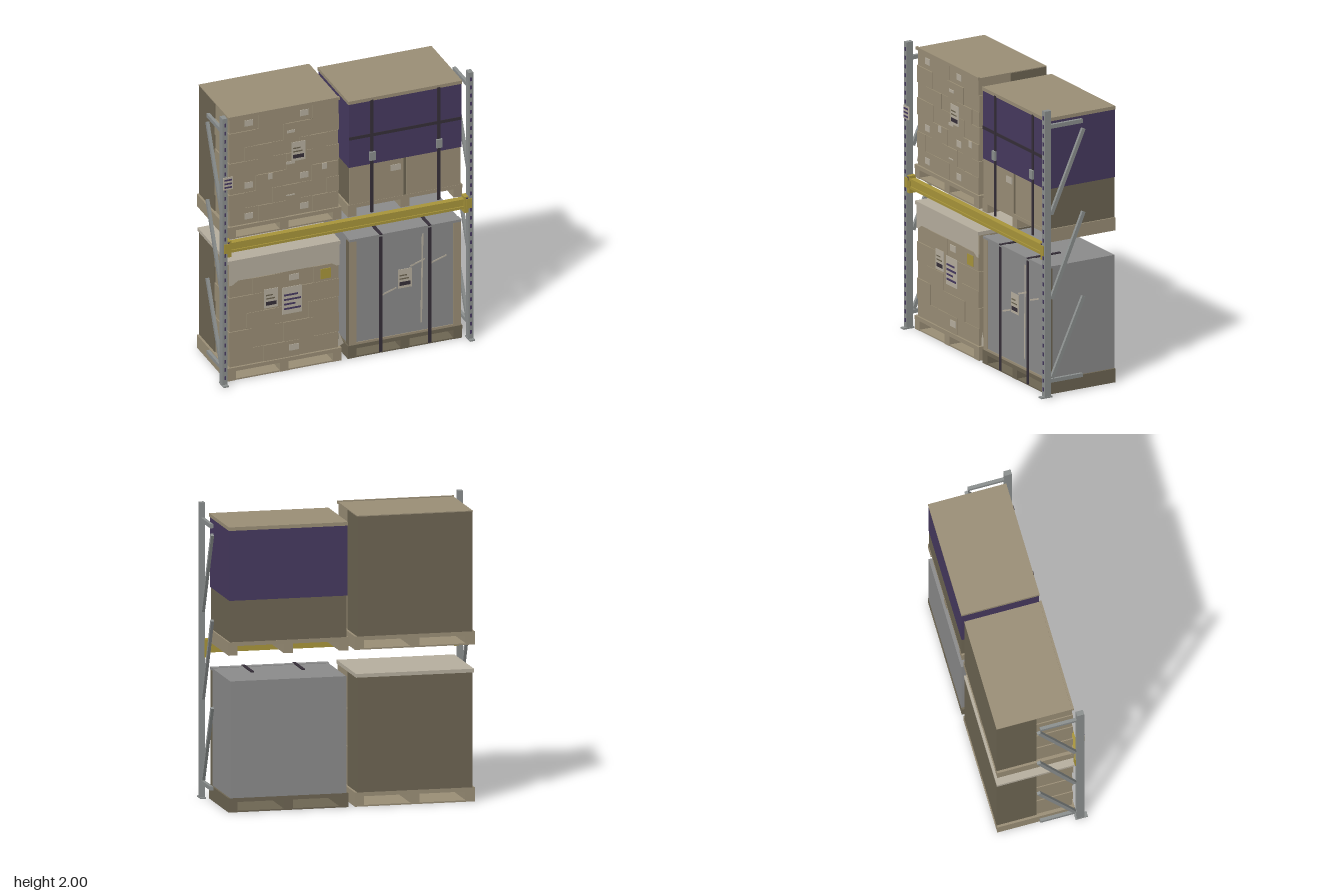
import * as THREE from 'three';

const mat = (name, color, side = THREE.FrontSide) => {
  const m = new THREE.MeshStandardMaterial({ color, side });
  m.name = name;
  return m;
};

export function createModel() {
  const root = new THREE.Group();
  root.name = 'loadedPalletRack';
  const kraft = mat('kraft cardboard', 0x9a8e76);
  const dark = mat('shaded cardboard', 0x6d6552);
  const purple = mat('purple wrap', 0x46395f);
  const film = mat('grey film', 0x8b8b8b);
  const steel = mat('galvanised steel', 0x8b8f8e);
  const yellow = mat('beam yellow', 0xa8953a);
  const black = mat('dark strap', 0x352e38);
  const paper = mat('pale paper', 0xb6ae9e, THREE.DoubleSide);

  const group = (name) => {
    const g = new THREE.Group();
    g.name = name;
    root.add(g);
    return g;
  };
  // Box given by its limits on each axis
  const box = (g, name, m, x0, x1, y0, y1, z0, z1) => {
    const b = new THREE.Mesh(new THREE.BoxGeometry(x1 - x0, y1 - y0, z1 - z0), m);
    b.position.set((x0 + x1) / 2, (y0 + y1) / 2, (z0 + z1) / 2);
    b.name = name;
    g.add(b);
    return b;
  };
  // Thin plate facing the front, given by centre and size
  const plate = (g, name, m, x, y, w, h, z, t = 0.004) =>
    box(g, name, m, x - w / 2, x + w / 2, y - h / 2, y + h / 2, z, z + t);
  // Flat bar running between two points in the front plane
  const streak = (g, name, m, x0, y0, x1, y1, w, z) => {
    const p = plate(g, name, m, (x0 + x1) / 2, (y0 + y1) / 2, Math.hypot(x1 - x0, y1 - y0), w, z, 0.002);
    p.rotation.z = Math.atan2(y1 - y0, x1 - x0);
  };
  const flat = (g, name, m, pts, z) => {
    const f = new THREE.Mesh(new THREE.ShapeGeometry(new THREE.Shape(pts.map((p) => new THREE.Vector2(...p)))), m);
    f.position.z = z;
    f.name = name;
    g.add(f);
  };
  // Paper sheet with printed lines and a dark block
  const sheet = (g, x, y, z) => {
    plate(g, 'documentSheet', paper, x, y, 0.1, 0.14, z);
    plate(g, 'documentBlock', black, x, y - 0.037, 0.076, 0.027, z + 0.004, 0.002);
    for (const [dy, w] of [[0.025, 0.05], [0, 0.066]])
      plate(g, 'documentLine', dark, x + (w - 0.076) / 2, y + dy, w, 0.009, z + 0.004, 0.002);
  };

  // Uprights with slots, feet and bracing
  for (const s of [-1, 1]) {
    const g = group(s > 0 ? 'leftUpright' : 'rightUpright');
    const c = s * 0.883;
    box(g, 'post', steel, c - 0.017, c + 0.017, 0, 2, 0.23, 0.28);
    box(g, 'footPlate', steel, c - 0.019, c + 0.019, 0, 0.01, 0.22, 0.305);
    for (let i = 0; i < 32; i++)
      plate(g, 'postSlot', purple, c - s * 0.002, 0.06 + i * 0.061, 0.013, 0.027, 0.28, 0.002);
    box(g, 'upperTie', steel, c - 0.01, c + 0.012, 1.872, 1.9, -0.02, 0.235);
    box(g, 'lowerTie', steel, c - 0.01, c + 0.012, 0.1, 0.126, -0.02, 0.235);
    for (const [z0, y0, z1, y1] of [[0.222, 1.27, -0.03, 1.83], [0.22, 0.68, -0.03, 1.25], [0.215, 0.13, -0.03, 0.66]]) {
      const b = new THREE.Mesh(new THREE.BoxGeometry(0.02, Math.hypot(z1 - z0, y1 - y0), 0.026), steel);
      b.position.set(c, (y0 + y1) / 2, (z0 + z1) / 2);
      b.rotation.x = Math.atan2(z1 - z0, y1 - y0);
      b.name = 'diagonalBrace';
      g.add(b);
    }
  }

  // Load beam with raised lips and end brackets
  const beam = group('loadBeam');
  box(beam, 'beamWeb', yellow, -0.866, 0.866, 0.987, 1.055, 0.228, 0.264);
  box(beam, 'beamLowerLip', yellow, -0.85, 0.85, 0.985, 1.003, 0.23, 0.272);
  box(beam, 'beamUpperLip', yellow, -0.85, 0.85, 1.04, 1.057, 0.23, 0.272);
  for (const s of [-1, 1]) {
    const c = s * 0.853;
    box(beam, 'beamBracket', yellow, c - 0.017, c + 0.017, 0.955, 1.075, 0.225, 0.276);
    box(beam, 'bracketHook', yellow, s * 0.868 - 0.02, s * 0.868 + 0.02, 0.99, 1.06, 0.278, 0.285);
    plate(beam, 'bracketPin', purple, c, 1.055, 0.013, 0.025, 0.276);
  }

  // Bay sign on the post
  const sign = group('baySign');
  plate(sign, 'signPlate', paper, -0.862, 1.515, 0.07, 0.092, 0.283);
  for (let i = 0; i < 3; i++) plate(sign, 'signBar', purple, -0.862, 1.487 + i * 0.027, 0.053, 0.012, 0.287, 0.002);

  // Pallets: top deck, three runners, optional bottom sheet
  const pallet = (x, y, h, m, bottom) => {
    const g = group('pallet');
    box(g, 'palletDeck', m, x - 0.41, x + 0.41, y + h - 0.027, y + h, -0.305, 0.23);
    for (const d of [-0.379, 0, 0.379])
      box(g, 'palletRunner', m, x + d - 0.031, x + d + 0.031, y, y + h - 0.02, -0.305, 0.228);
    if (bottom) box(g, 'palletBottom', m, x - 0.405, x + 0.405, y, y + 0.01, -0.305, 0.225);
  };
  pallet(-0.436, 1.06, 0.09, kraft, true);
  pallet(0.43, 1.06, 0.09, kraft, false);
  pallet(-0.436, 0, 0.096, kraft, true);
  pallet(0.43, 0, 0.096, dark, true);

  // Staggered carton rows; seams lists the joints in each row
  const cartons = (g, x0, x1, levels, seams) => {
    for (let r = 0; r + 1 < levels.length; r++) {
      const bulge = (r % 2) * 0.006;
      const xs = [x0 - bulge, ...seams[r % seams.length], x1 + bulge];
      for (let i = 0; i + 1 < xs.length; i++)
        box(g, 'carton', kraft, xs[i] + 0.001, xs[i + 1] - 0.001, levels[r] + 0.001, levels[r + 1] - 0.001,
          -0.03, 0.217 + ((r + i) % 2) * 0.004);
    }
  };

  // Upper carton stack
  const a = group('upperCartonLoad');
  box(a, 'stackCore', dark, -0.83, -0.042, 1.15, 1.96, -0.305, -0.03);
  box(a, 'stackFill', dark, -0.82, -0.05, 1.15, 1.955, -0.03, 0.212);
  cartons(a, -0.825, -0.045, [1.15, 1.27, 1.385, 1.5, 1.62, 1.725, 1.845, 1.96],
    [[-0.62, -0.42, -0.23], [-0.72, -0.52, -0.32, -0.13], [-0.64, -0.44, -0.24]]);
  box(a, 'topSheet', kraft, -0.832, -0.04, 1.96, 1.966, -0.306, 0.222);
  box(a, 'frontRim', kraft, -0.835, -0.037, 1.952, 1.973, 0.213, 0.228);
  for (const [x, y] of [[-0.69, 1.905], [-0.29, 1.905], [-0.69, 1.44], [-0.29, 1.44], [-0.69, 1.21], [-0.29, 1.21]])
    plate(a, 'tapePatch', paper, x, y, 0.06, 0.044, 0.222);
  for (const [x, y, w, h] of [[-0.535, 1.477, 0.034, 0.044], [-0.145, 1.477, 0.034, 0.044],
    [-0.385, 1.783, 0.055, 0.02], [-0.39, 1.55, 0.06, 0.02], [-0.39, 1.308, 0.06, 0.008]])
    plate(a, 'smallTape', paper, x, y, w, h, 0.222);
  sheet(a, -0.335, 1.63, 0.227);
  flat(a, 'looseFlap', kraft.clone().copy(paper) && paper, [[-0.83, 1.15], [-0.83, 1.255], [-0.868, 1.165]], 0.2);

  // Lower carton stack with a pale cover
  const c = group('lowerCartonLoad');
  box(c, 'stackCore', dark, -0.83, -0.042, 0.096, 0.875, -0.305, -0.03);
  box(c, 'stackFill', dark, -0.82, -0.05, 0.096, 0.875, -0.03, 0.212);
  cartons(c, -0.825, -0.045, [0.096, 0.215, 0.36, 0.48, 0.615, 0.735, 0.875],
    [[-0.58, -0.32], [-0.66, -0.44, -0.22], [-0.7, -0.5, -0.26]]);
  box(c, 'coverLid', paper, -0.84, -0.033, 0.872, 0.897, -0.306, 0.23);
  flat(c, 'coverSkirt', paper, [[-0.833, 0.875], [-0.833, 0.71], [-0.81, 0.71], [-0.765, 0.74],
    [-0.1, 0.74], [-0.06, 0.715], [-0.04, 0.715], [-0.04, 0.875]], 0.225);
  for (const y of [0.69, 0.165]) plate(c, 'tapePatch', paper, -0.363, y, 0.07, 0.044, 0.222);
  sheet(c, -0.53, 0.565, 0.224);
  plate(c, 'shippingSheet', paper, -0.38, 0.523, 0.14, 0.2, 0.224);
  for (const [i, w] of [0.1, 0.12, 0.08, 0.12].entries())
    plate(c, 'shippingLine', purple, -0.378 + (w - 0.12) / 2, 0.565 - i * 0.034, w, 0.013, 0.228, 0.002);
  plate(c, 'warningSquare', yellow, -0.138, 0.673, 0.074, 0.074, 0.226);
  flat(c, 'looseFlap', paper, [[-0.04, 0.09], [0.002, 0.11], [-0.035, 0.205]], 0.2);

  // Upper strapped load, half covered in purple wrap
  const b = group('upperStrappedLoad');
  box(b, 'lowerCore', dark, 0.032, 0.83, 1.15, 1.432, -0.304, 0.222);
  box(b, 'frontCartonRight', kraft, 0.032, 0.418, 1.15, 1.43, 0.22, 0.228);
  box(b, 'frontCartonLeft', kraft, 0.44, 0.828, 1.15, 1.43, 0.22, 0.228);
  plate(b, 'cartonSeam', dark, 0.429, 1.29, 0.02, 0.28, 0.223);
  box(b, 'purpleWrap', purple, 0.026, 0.834, 1.43, 1.903, -0.305, 0.23);
  box(b, 'loadLid', kraft, 0.022, 0.838, 1.903, 1.927, -0.307, 0.233);
  plate(b, 'cartonLabel', paper, 0.362, 1.37, 0.074, 0.044, 0.228);
  plate(b, 'crossStrap', black, 0.43, 1.647, 0.808, 0.022, 0.23);
  for (const x of [0.19, 0.67]) {
    plate(b, 'strap', black, x, 1.49, 0.022, 0.84, 0.232, 0.006);
    plate(b, 'buckle', steel, x, 1.495, 0.042, 0.062, 0.235, 0.016);
  }

  // Lower film-wrapped load in a cardboard frame
  const d = group('lowerWrappedLoad');
  box(d, 'filmBody', film, 0.034, 0.828, 0.096, 0.886, -0.305, 0.18);
  box(d, 'filmFront', film, 0.08, 0.782, 0.1, 0.875, 0.18, 0.222);
  for (const x of [0.03, 0.778]) {
    box(d, 'cornerBoard', kraft, x, x + 0.052, 0.096, 0.872, 0.182, 0.228);
    box(d, 'cornerSide', dark, x < 0.4 ? 0.028 : 0.828, x < 0.4 ? 0.031 : 0.832, 0.096, 0.872, 0.18, 0.226);
  }
  box(d, 'bottomRail', kraft, 0.03, 0.83, 0.09, 0.112, 0.18, 0.228);
  box(d, 'topRail', film, 0.03, 0.832, 0.872, 0.889, 0.18, 0.232);
  for (const x of [0.255, 0.605]) {
    plate(d, 'strap', black, x, 0.442, 0.022, 0.862, 0.23, 0.005);
    box(d, 'strapOverTop', black, x - 0.011, x + 0.011, 0.886, 0.893, -0.02, 0.235);
  }
  streak(d, 'filmCrease', paper, 0.548, 0.17, 0.558, 0.83, 0.011, 0.223);
  streak(d, 'filmCrease', paper, 0.27, 0.43, 0.37, 0.465, 0.011, 0.223);
  streak(d, 'filmCrease', paper, 0.47, 0.605, 0.575, 0.642, 0.011, 0.223);
  streak(d, 'filmCrease', paper, 0.62, 0.602, 0.73, 0.64, 0.011, 0.223);
  sheet(d, 0.43, 0.525, 0.224);
  return root;
}
